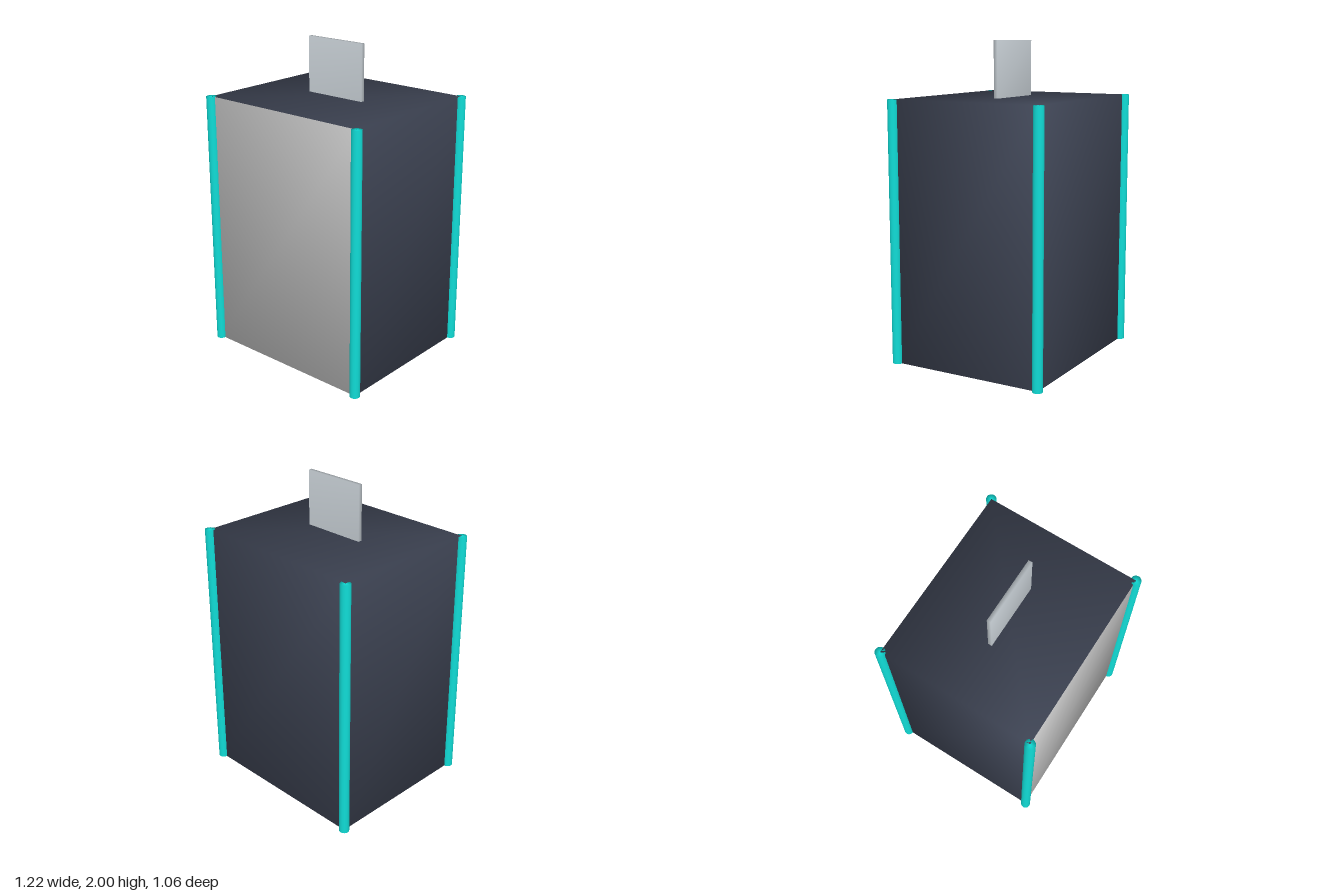
import * as THREE from 'three';
import { mergeVertices } from 'three/addons/utils/BufferGeometryUtils.js';

const W = 1.16, H = 1.65, D = 1.0;

// Share the vertices at every edge so shading runs smoothly round corners
function softened(geometry) {
  geometry.deleteAttribute('normal');
  geometry.deleteAttribute('uv');
  const merged = mergeVertices(geometry, 1e-4);
  merged.computeVertexNormals();
  return merged;
}

function material(name, color) {
  const m = new THREE.MeshStandardMaterial({ color });
  m.name = name;
  return m;
}

export function createModel() {
  const group = new THREE.Group();
  group.name = 'kiosk';

  const slate = material('darkSlate', 0x3e4454);
  const grey = material('panelGrey', 0xc0c0c0);
  const teal = material('teal', 0x10dcd6);
  const silver = material('silver', 0xd0d8de);

  const add = (name, geometry, mat, x, y, z) => {
    const mesh = new THREE.Mesh(softened(geometry), mat);
    mesh.name = name;
    mesh.position.set(x, y, z);
    group.add(mesh);
  };

  // Cabinet with a grey front face (face order: +x, -x, +y, -y, +z, -z)
  add('cabinet', new THREE.BoxGeometry(W, H, D),
    [slate, slate, slate, slate, grey, slate], 0, H / 2, 0);

  // Round posts on the four upright edges
  for (const [sx, side] of [[1, 'left'], [-1, 'right']]) {
    for (const [sz, end] of [[1, 'Front'], [-1, 'Back']]) {
      add(`${side}${end}Post`, new THREE.CylinderGeometry(0.032, 0.032, H, 16),
        teal, sx * W / 2, H / 2, sz * D / 2);
    }
  }

  // Thin sign standing on the roof
  add('sign', new THREE.BoxGeometry(0.42, 2 - H, 0.025), silver, 0, (2 + H) / 2, 0);

  return group;
}
